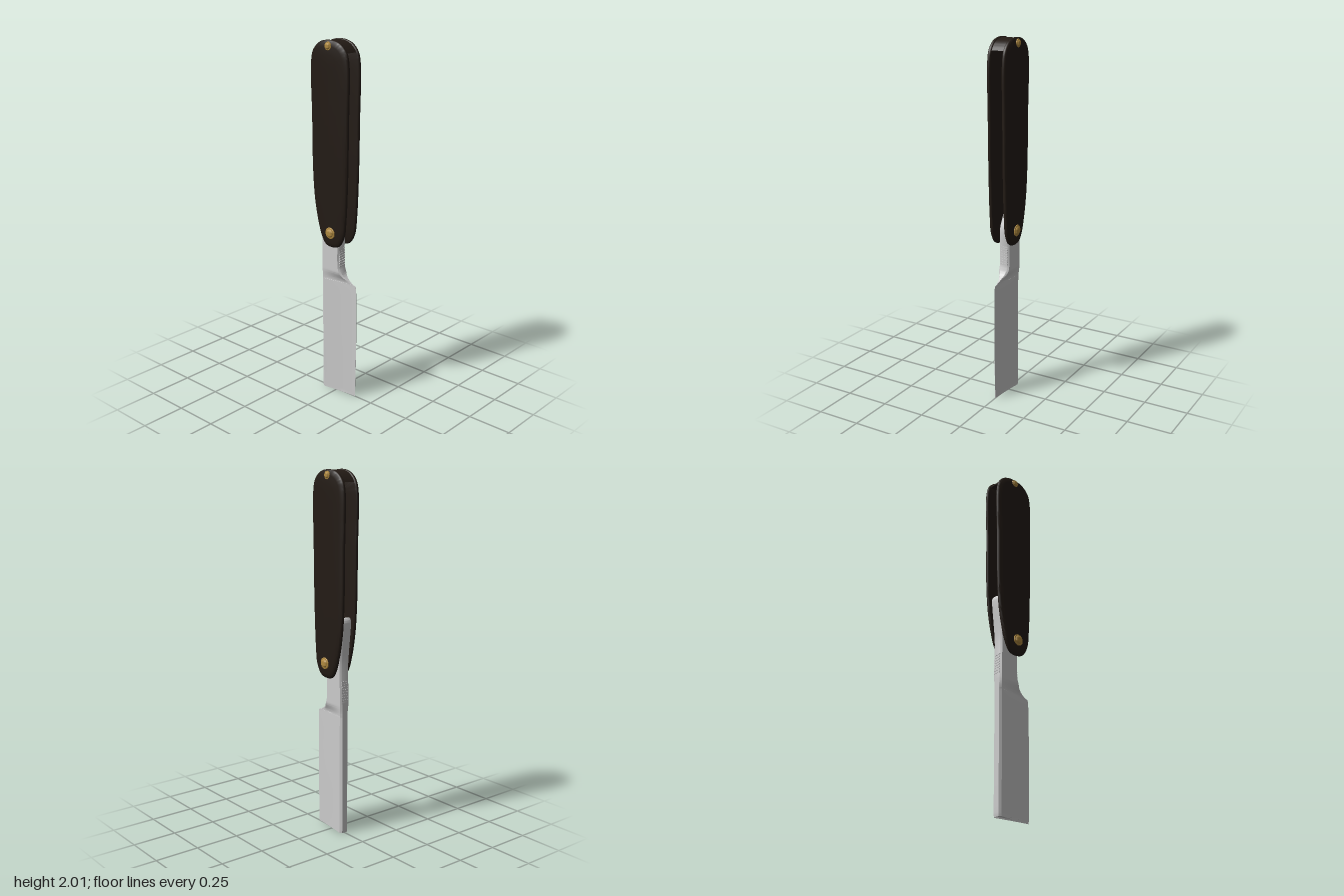
import * as THREE from 'three';
import { toCreasedNormals } from 'three/addons/utils/BufferGeometryUtils.js';

const steel = new THREE.MeshStandardMaterial({ color: 0xcccccc });
const wood = new THREE.MeshStandardMaterial({ color: 0x231b15 });
const brass = new THREE.MeshStandardMaterial({ color: 0xb08a40 });

// Skin a list of equal-length closed rings of [x, y, z]
function loft(rings, crease) {
  const n = rings[0].length, index = [];
  for (let i = 0; i < rings.length - 1; i++) {
    for (let j = 0; j < n; j++) {
      const a = i * n + j, b = i * n + (j + 1) % n;
      index.push(a, b, b + n, a, b + n, a + n);
    }
  }
  const g = new THREE.BufferGeometry();
  g.setAttribute('position', new THREE.Float32BufferAttribute(rings.flat(2), 3));
  g.setIndex(index);
  return toCreasedNormals(g, crease);
}

function add(parent, name, geometry, material) {
  const mesh = new THREE.Mesh(geometry, material);
  mesh.name = name;
  parent.add(mesh);
  return mesh;
}

// Handle outline, counterclockwise from the front
const outline = new THREE.CatmullRomCurve3([
  [0, 0.88], [0.05, 0.893], [0.085, 0.95], [0.098, 1.05], [0.108, 1.25], [0.114, 1.6],
  [0.116, 1.88], [0.1, 1.945], [0.055, 1.987], [-0.013, 2], [-0.08, 1.987], [-0.126, 1.945],
  [-0.143, 1.88], [-0.139, 1.6], [-0.135, 1.3], [-0.121, 1.13], [-0.094, 1.0], [-0.07, 0.93], [-0.042, 0.89],
].map(([x, y]) => new THREE.Vector3(x, y, 0)), true).getPoints(120).slice(0, -1);

// One handle scale: flat inside, rounded rim, gently domed outside
function scaleGeometry(side) {
  const profile = [[0, 0.034], [0.93, 0.034], [0.98, 0.036], [1, 0.041], [1, 0.046],
    [0.98, 0.051], [0.93, 0.055], [0.75, 0.059], [0.4, 0.062], [0, 0.063]];
  const rings = profile.map(([k, z]) => outline.map((p) => {
    const cy = THREE.MathUtils.clamp(p.y, 0.98, 1.88);
    const cx = THREE.MathUtils.mapLinear(cy, 0.98, 1.88, 0.002, -0.013);
    return [cx + (p.x - cx) * k, cy + (p.y - cy) * k, z * side];
  }));
  if (side < 0) rings.reverse();
  return loft(rings, 0.9);
}

// Blade, shoulder, tang and tail as cross-sections along y
function bladeGeometry() {
  const keys = [ // y, spine x, edge x
    [0, -0.088, 0.131], [0.012, -0.095, 0.133], [0.3, -0.095, 0.139], [0.5, -0.095, 0.138],
    [0.655, -0.095, 0.135], [0.672, -0.095, 0.115], [0.69, -0.095, 0.082], [0.715, -0.095, 0.053],
    [0.755, -0.095, 0.035], [0.82, -0.094, 0.031], [0.92, -0.092, 0.034], [0.98, -0.093, 0.027],
    [1.06, -0.099, -0.015], [1.15, -0.108, -0.043], [1.2, -0.11, -0.06], [1.22, -0.1, -0.08],
  ];
  const path = new THREE.CatmullRomCurve3(
    keys.map(([y, l, r]) => new THREE.Vector3(l, y, r)), false, 'catmullrom', 0.4);
  const us = [0, 0.02, 0.06, 0.12, 0.2, 0.3, 0.4, 0.5, 0.6, 0.7, 0.8, 0.88, 0.94, 0.98, 1];
  const section = (t, flat) => {
    const { x: l, y, z: r } = path.getPoint(t);
    const w = THREE.MathUtils.smoothstep(y, 0.665, 0.735);
    const spread = us.map((u) => {
      const round = Math.min(1, 0.62 + u * 6.5);
      const wedge = 0.027 * round * Math.pow(1 - u, 1.4) + 0.0008;
      const bar = 0.03 * Math.min(round, 0.62 + (1 - u) * 6.5);
      return [l + (r - l) * u, flat ? 0 : THREE.MathUtils.lerp(wedge, bar, w)];
    });
    return [...spread.map(([x, h]) => [x, y, h]), ...spread.reverse().map(([x, h]) => [x, y, -h])];
  };
  const steps = (keys.length - 1) * 6, rings = [section(0, true)];
  for (let i = 0; i <= steps; i++) rings.push(section(i / steps, false));
  rings.push(section(1, true));
  return loft(rings, 0.6);
}

// Row of grip ridges along an edge of the tang
function addRidges(parent, name, x0, y0, x1, y1) {
  const row = new THREE.Group();
  row.name = name;
  const tilt = Math.atan2(x0 - x1, y1 - y0), count = 8;
  for (let i = 0; i < count; i++) {
    const t = i / (count - 1);
    const ridge = add(row, 'gripRidge', new THREE.BoxGeometry(0.007, 0.008, 0.042), steel);
    ridge.position.set(x0 + (x1 - x0) * t, y0 + (y1 - y0) * t, 0);
    ridge.rotation.z = tilt;
  }
  parent.add(row);
}

// Through pin with a washer and domed head on both sides
function addRivet(parent, name, x, y, r, base, top) {
  const rivet = new THREE.Group();
  rivet.name = name;
  const pin = add(rivet, 'pin', new THREE.CylinderGeometry(r * 0.45, r * 0.45, base * 2, 24), brass);
  pin.rotation.x = Math.PI / 2;
  const rim = base + (top - base) * 0.35;
  const profile = [[r, base - 0.006], [r, rim - 0.002], [r * 0.93, rim], [r * 0.74, rim], [r * 0.7, rim + 0.003],
    [r * 0.55, top - 0.003], [r * 0.3, top - 0.0008], [0, top]].map(([a, b]) => new THREE.Vector2(a, b));
  for (const side of [1, -1]) {
    const head = add(rivet, 'rivetHead', toCreasedNormals(new THREE.LatheGeometry(profile, 32), 0.7), brass);
    head.rotation.x = side * Math.PI / 2;
  }
  rivet.position.set(x, y, 0);
  parent.add(rivet);
}

export function createModel() {
  const model = new THREE.Group();
  model.name = 'foldingRazor';

  // Handle
  add(model, 'frontScale', scaleGeometry(1), wood);
  add(model, 'backScale', scaleGeometry(-1), wood);
  const cap = outline.filter((p) => p.y > 1.935)
    .map((p) => new THREE.Vector2(-0.013 + (p.x + 0.013) * 0.95, p.y - 0.004));
  const spacer = new THREE.ExtrudeGeometry(new THREE.Shape(cap), { depth: 0.08, bevelEnabled: false });
  spacer.translate(0, 0, -0.04);
  add(model, 'endSpacer', toCreasedNormals(spacer, 0.6), wood);

  // Blade
  add(model, 'blade', bladeGeometry(), steel);
  addRidges(model, 'spineRidges', -0.093, 0.765, -0.092, 0.868);
  addRidges(model, 'tangRidges', 0.032, 0.768, 0.03, 0.868);
  addRidges(model, 'tailRidges', -0.017, 1.065, -0.043, 1.155);

  // Rivets
  addRivet(model, 'pivotRivet', 0.002, 0.965, 0.032, 0.062, 0.078);
  addRivet(model, 'endRivet', -0.015, 1.97, 0.022, 0.057, 0.071);
  return model;
}
